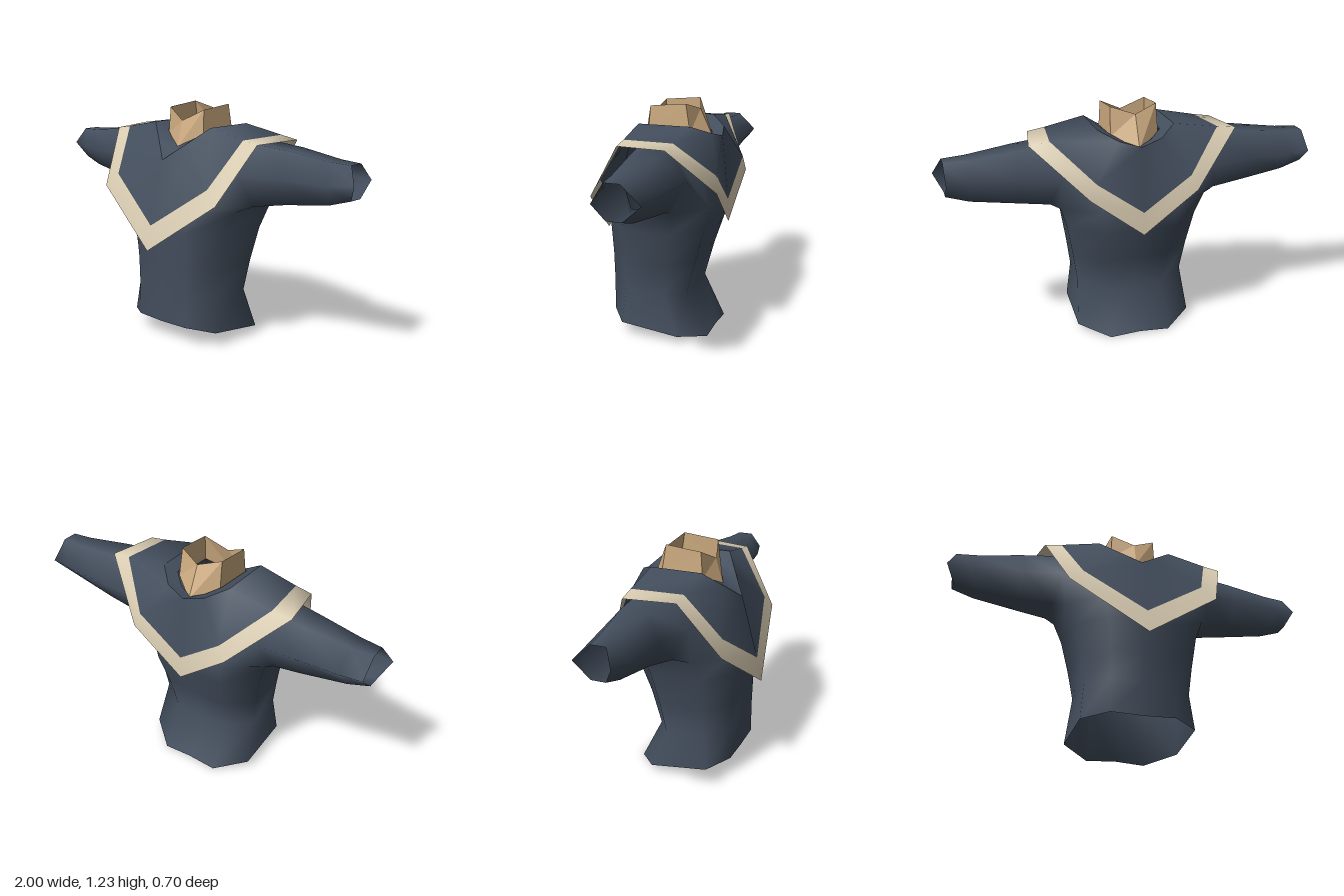
import * as THREE from 'three';
import { mergeVertices } from 'three/addons/utils/BufferGeometryUtils.js';

const paint = (name, color) => {
  const m = new THREE.MeshStandardMaterial({ color, side: THREE.DoubleSide });
  m.name = name;
  return m;
};

// quads between two matching rows of points
const strip = (lo, up) =>
  lo.slice(1).map((p, i) => [lo[i], p, up[i + 1], up[i]]);
// quads through a whole list of rows
const loft = (rows) => rows.slice(1).flatMap((r, i) => strip(rows[i], r));
const flip = (quads) =>
  quads.map((q) => q.map(([x, y, z]) => [-x, y, z]).reverse());

// Builds parts that share one continuous set of smooth normals.
// Each part is { name, material, quads }.
function addSurface(group, parts, faceted = false) {
  const pos = [];
  for (const { quads } of parts)
    for (const [a, b, c, d] of quads) pos.push(...a, ...b, ...c, ...a, ...c, ...d);
  let geo = new THREE.BufferGeometry();
  geo.setAttribute('position', new THREE.Float32BufferAttribute(pos, 3));
  geo = mergeVertices(geo, 1e-4);
  if (faceted) geo = geo.toNonIndexed();
  geo.computeVertexNormals();
  const index = geo.index
    ? Array.from(geo.index.array)
    : Array.from({ length: geo.attributes.position.count }, (_, i) => i);
  let start = 0;
  for (const { name, material, quads } of parts) {
    const g = new THREE.BufferGeometry();
    g.setAttribute('position', geo.attributes.position);
    g.setAttribute('normal', geo.attributes.normal);
    g.setIndex(index.slice(start, start + quads.length * 6));
    start += quads.length * 6;
    const mesh = new THREE.Mesh(g, material);
    mesh.name = name;
    group.add(mesh);
  }
}

export function createModel() {
  const group = new THREE.Group();
  group.name = 'tunicWithCapelet';
  const navy = paint('navyCloth', 0x434e5d);
  const cream = paint('creamTrim', 0xd9ccb2);
  const tan = paint('tanCollar', 0xcdab80);

  // torso half rows, front centre round the left side to back centre
  const bottom = [[0, .09, .24], [.17, .095, .24], [.3, .075, .15], [.31, .04, -.16], [.16, 0, -.28], [0, .01, -.28]];
  const waist = [[0, .27, .245], [.17, .27, .24], [.28, .27, .13], [.29, .26, -.08], [.16, .23, -.165], [0, .23, -.165]];
  const belly = [[0, .42, .25], [.17, .42, .245], [.3, .42, .13], [.315, .42, -.1], [.17, .42, -.215], [0, .42, -.215]];
  const ribs = [[0, .6, .262], [.18, .6, .255], [.33, .6, .13], [.35, .6, -.13], [.2, .6, -.27], [0, .6, -.27]];
  const chest = [[0, .72, .262], [.2, .72, .25], [.38, .72, .1], [.39, .72, -.16], [.2, .72, -.29], [0, .72, -.29]];
  const [F, FS, S1, S2, BS, B] = chest;

  // armhole and the sleeve sections out to the cuff
  const arm = [[.44, .75, .03], [.4, .9, .1], [.41, 1.06, 0], [.41, 1.06, -.16], [.4, .9, -.24], [.44, .75, -.16]];
  const upperArm = [[.6, .775, -.02], [.6, .91, .04], [.6, 1.045, -.02], [.6, 1.045, -.16], [.6, .92, -.255], [.6, .775, -.16]];
  const forearm = [[.84, .805, -.05], [.87, .91, .02], [.84, 1.015, -.04], [.84, 1.015, -.14], [.84, .92, -.24], [.84, .805, -.14]];
  const cuff = [[.955, .84, -.06], [1, .925, -.01], [.955, 1.01, -.05], [.955, 1.01, -.13], [.955, .92, -.225], [.955, .84, -.135]];
  const [a0, a1, a2, a3, a4, a5] = arm;

  // neck opening of the torso
  const [N0, N1, N2, N3] = [[0, 1, .14], [.15, 1.07, .07], [.15, 1.08, -.17], [0, 1.04, -.26]];

  const torso = [
    ...loft([bottom, waist, belly, ribs, chest]),
    [F, FS, N1, N0], [FS, a1, a2, N1], [FS, S1, a0, a1], // breast
    [S1, S2, a5, a0],                                    // underarm
    [S2, BS, a4, a5], [BS, N2, a3, a4], [BS, B, N3, N2], // upper back
    [a2, a3, N2, N1],                                    // shoulder
  ];
  const sleeve = loft([cuff, forearm, upperArm, arm].map((r) => [...r, r[0]]));
  addSurface(group, [
    { name: 'torso', material: navy, quads: [...torso, ...flip(torso)] },
    { name: 'leftSleeve', material: navy, quads: sleeve },
    { name: 'rightSleeve', material: navy, quads: flip(sleeve) },
  ]);

  // pointed capelet with a trim band along its hem
  const hem = [[0, .5, .347], [.4, .78, .27], [.5, 1.07, .08], [.545, 1.075, -.18], [.28, .82, -.355], [0, .6, -.34]];
  const trimTop = [[0, .63, .32], [.325, .85, .247], [.41, 1.085, .08], [.44, 1.09, -.185], [.245, .9, -.345], [0, .72, -.335]];
  const neckline = [[0, .96, .232], [.1, 1.045, .157], [.2, 1.128, .085], [.2, 1.128, -.19], [.11, 1.085, -.275], [0, 1.055, -.3]];
  const cape = strip(trimTop, neckline);
  const band = strip(hem, trimTop);
  addSurface(group, [
    { name: 'capelet', material: navy, quads: [...cape, ...flip(cape)] },
    { name: 'capeletTrim', material: cream, quads: [...band, ...flip(band)] },
  ]);

  // turned-in lip between the capelet neckline and the collar
  const lipInner = [[0, 1.02, .12], [.07, 1.055, .09], [.135, 1.09, .055], [.135, 1.1, -.165], [.07, 1.065, -.22], [0, 1.04, -.245]];
  const lip = strip(neckline, lipInner);
  addSurface(group, [{ name: 'necklineLip', material: navy, quads: [...lip, ...flip(lip)] }]);

  // standing six-sided collar
  const collarBase = [[0, 1.01, .125], [.125, 1.07, .06], [.125, 1.08, -.165], [0, 1.03, -.255]];
  const collarTop = [[0, 1.15, .085], [.12, 1.21, .05], [.12, 1.228, -.14], [0, 1.19, -.18]];
  const collar = strip(collarBase, collarTop);
  addSurface(group, [{ name: 'collar', material: tan, quads: [...collar, ...flip(collar)] }], true);

  return group;
}
